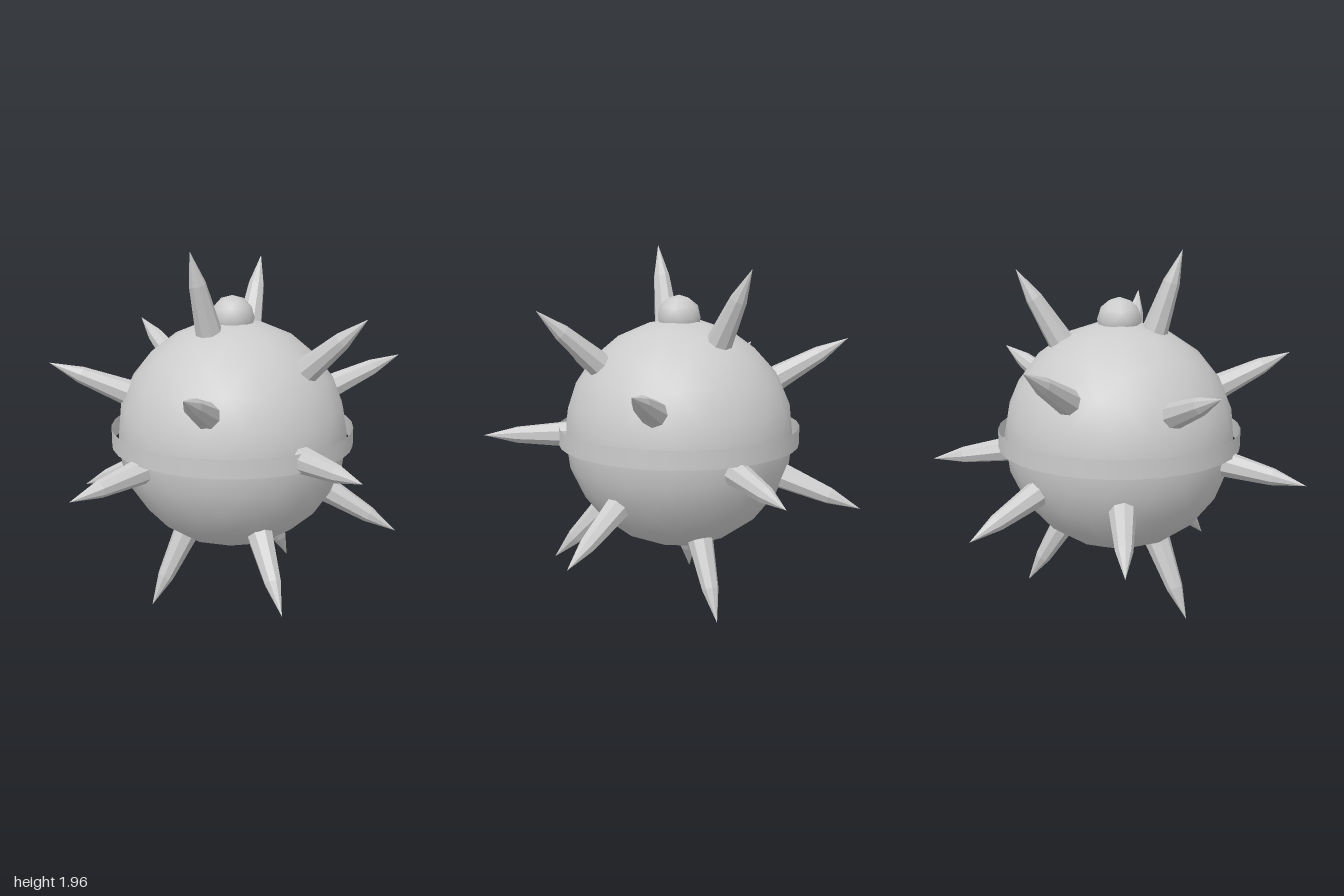
import * as THREE from 'three';

const CENTRE = new THREE.Vector3(-0.02, 0.95, 0);

// Spike tips in model space
const TIPS = [
  [-0.29, 1.96, 0.20], [0.27, 1.86, -0.46], [0.51, 1.65, 0.60], [-0.37, 1.46, -0.87],
  [-0.47, 1.37, 0.87], [-0.98, 1.35, -0.20], [0.98, 1.32, -0.065], [0.35, 0.95, 1.0],
  [-0.96, 0.79, 0.46], [0.735, 0.78, -0.735], [-0.06, 0.58, -1.0], [-0.775, 0.51, -0.60],
  [0.83, 0.41, 0.33], [0.05, 0.18, 0.73], [0.41, 0.04, -0.33], [-0.50, 0.0, 0.07],
];

// Smooth icosphere turned so that one corner is at the top
function icosphere(radius, detail) {
  const geometry = new THREE.IcosahedronGeometry(radius, detail);
  geometry.rotateZ(-Math.atan(2 / (1 + Math.sqrt(5))));
  return geometry;
}

// Faceted spike along +y: slow taper, then a sharp point
function spikeGeometry(length) {
  const profile = [[0.081, 0.5], [0.045, length - 0.18], [0, length]];
  const lathe = new THREE.LatheGeometry(profile.map(([r, y]) => new THREE.Vector2(r, y)), 8);
  const flat = lathe.toNonIndexed();
  flat.computeVertexNormals();
  return flat;
}

export function createModel() {
  const model = new THREE.Group();
  model.name = 'spikedMine';
  const grey = new THREE.MeshStandardMaterial({ color: 0xcccccc });
  grey.name = 'grey metal';
  const bandGrey = grey.clone();
  bandGrey.side = THREE.DoubleSide;

  const add = (name, geometry, material, position) => {
    const mesh = new THREE.Mesh(geometry, material);
    mesh.name = name;
    mesh.position.copy(position);
    model.add(mesh);
    return mesh;
  };

  // Round body with a small cap ball on top
  add('body', icosphere(0.628, 3), grey, CENTRE);
  add('topCap', icosphere(0.12, 1), grey, new THREE.Vector3(-0.02, 1.585, 0));

  // Thin open band around the middle
  add('band', new THREE.CylinderGeometry(0.66, 0.66, 0.1, 32, 1, true), bandGrey, CENTRE);

  // Spikes radiating from the centre
  const up = new THREE.Vector3(0, 1, 0);
  TIPS.forEach((tip, i) => {
    const direction = new THREE.Vector3(...tip).sub(CENTRE);
    const spike = add(`spike${i + 1}`, spikeGeometry(direction.length()), grey, CENTRE);
    spike.quaternion.setFromUnitVectors(up, direction.normalize());
  });

  return model;
}
